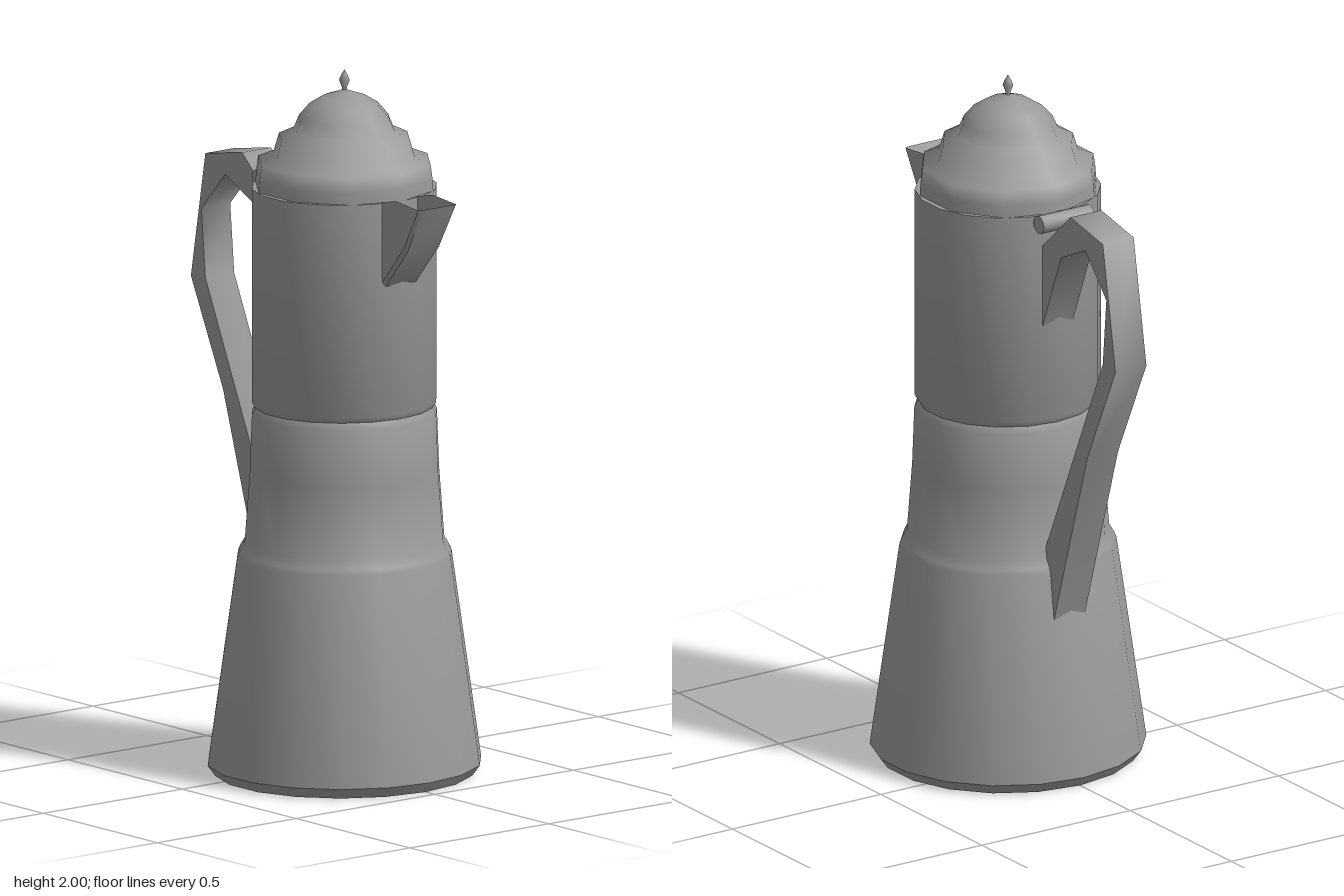
import * as THREE from 'three';
import { toCreasedNormals } from 'three/addons/utils/BufferGeometryUtils.js';

const AXIS_X = 0.104; // the pot stands off-centre to leave room for the handle

export function createModel() {
  const group = new THREE.Group();
  const metal = new THREE.MeshStandardMaterial({ color: 0x999999 });
  const sheet = new THREE.MeshStandardMaterial({ color: 0x999999, side: THREE.DoubleSide });

  const add = (name, geometry, material = metal, x = 0, y = 0) => {
    const mesh = new THREE.Mesh(geometry, material);
    mesh.name = name;
    mesh.position.set(x, y, 0);
    group.add(mesh);
  };
  // Turned part with one corner on the +x axis
  const turn = (profile, sides) =>
    new THREE.LatheGeometry(profile.map(([r, y]) => new THREE.Vector2(r, y)), sides, Math.PI / 2);

  // Body: flared base, stepped waist and straight neck, slightly oval
  const body = turn([
    [0, 0], [0.368, 0], [0.39, 0.03], [0.306, 0.62], [0.3, 0.635], [0.285, 0.66],
    [0.27, 0.86], [0.264, 1.025], [0.254, 1.045], [0.263, 1.06], [0.263, 1.668], [0, 1.668],
  ], 18).scale(0.968, 1, 1);
  add('body', toCreasedNormals(body, 0.65), metal, AXIS_X);

  // Stepped, domed lid
  add('lid', turn([
    [0.256, 1.668], [0.254, 1.70], [0.248, 1.742], [0.203, 1.76], [0.188, 1.81],
    [0.145, 1.83], [0.13, 1.865], [0.1, 1.9], [0.06, 1.925], [0, 1.945],
  ], 10), metal, AXIS_X);

  // Small pointed finial
  add('finial', turn([
    [0.008, 1.93], [0.007, 1.95], [0.015, 1.97], [0.009, 1.985], [0, 2],
  ], 8), metal, AXIS_X);

  // Hinge pin lying across the top of the handle
  const pin = new THREE.CylinderGeometry(0.026, 0.026, 0.17, 12).rotateX(Math.PI / 2);
  add('hingePin', toCreasedNormals(pin, 0.7), metal, -0.173, 1.655);

  // Angular handle cut from a flat bar, leaning slightly to the back
  const outline = new THREE.Shape([
    [-0.135, 1.57], [-0.285, 1.705], [-0.45, 1.675], [-0.515, 1.315], [-0.37, 1.015], [-0.2, 0.48],
    [-0.155, 0.68], [-0.45, 1.32], [-0.468, 1.515], [-0.36, 1.63], [-0.237, 1.57], [-0.135, 1.32],
  ].map(([x, y]) => new THREE.Vector2(x, y)));
  const handle = new THREE.ExtrudeGeometry(outline, { depth: 0.104, bevelEnabled: false });
  const points = handle.attributes.position;
  for (let i = 0; i < points.count; i++) {
    points.setZ(i, points.getZ(i) - 0.052 + 0.02 * (points.getX(i) + 0.15));
  }
  add('handle', toCreasedNormals(handle, 1.3));

  // Spout: open trough, each row is [top x, top y, floor x, floor y, half width]
  const rows = [
    [0.345, 1.67, 0.352, 1.43, 0.064],
    [0.41, 1.685, 0.45, 1.545, 0.066],
    [0.505, 1.675, 0.515, 1.675, 0.068],
  ];
  const positions = [];
  const index = [];
  rows.forEach(([tx, ty, fx, fy, w], i) => {
    const f = w - 0.01; // narrower floor rounds off the lower corners
    const sx = fx - 0.004, sy = fy + 0.012 * (i < 2);
    positions.push(tx, ty, -w, sx, sy, -w, fx, fy, -f, fx, fy, f, sx, sy, w, tx, ty, w);
    if (i === 0) return;
    for (let j = 0; j < 5; j++) {
      const a = (i - 1) * 6 + j, b = a + 6;
      index.push(a, b, a + 1, b, b + 1, a + 1);
    }
  });
  const spout = new THREE.BufferGeometry();
  spout.setAttribute('position', new THREE.Float32BufferAttribute(positions, 3));
  spout.setIndex(index);
  add('spout', toCreasedNormals(spout, 0.7), sheet);

  return group;
}
